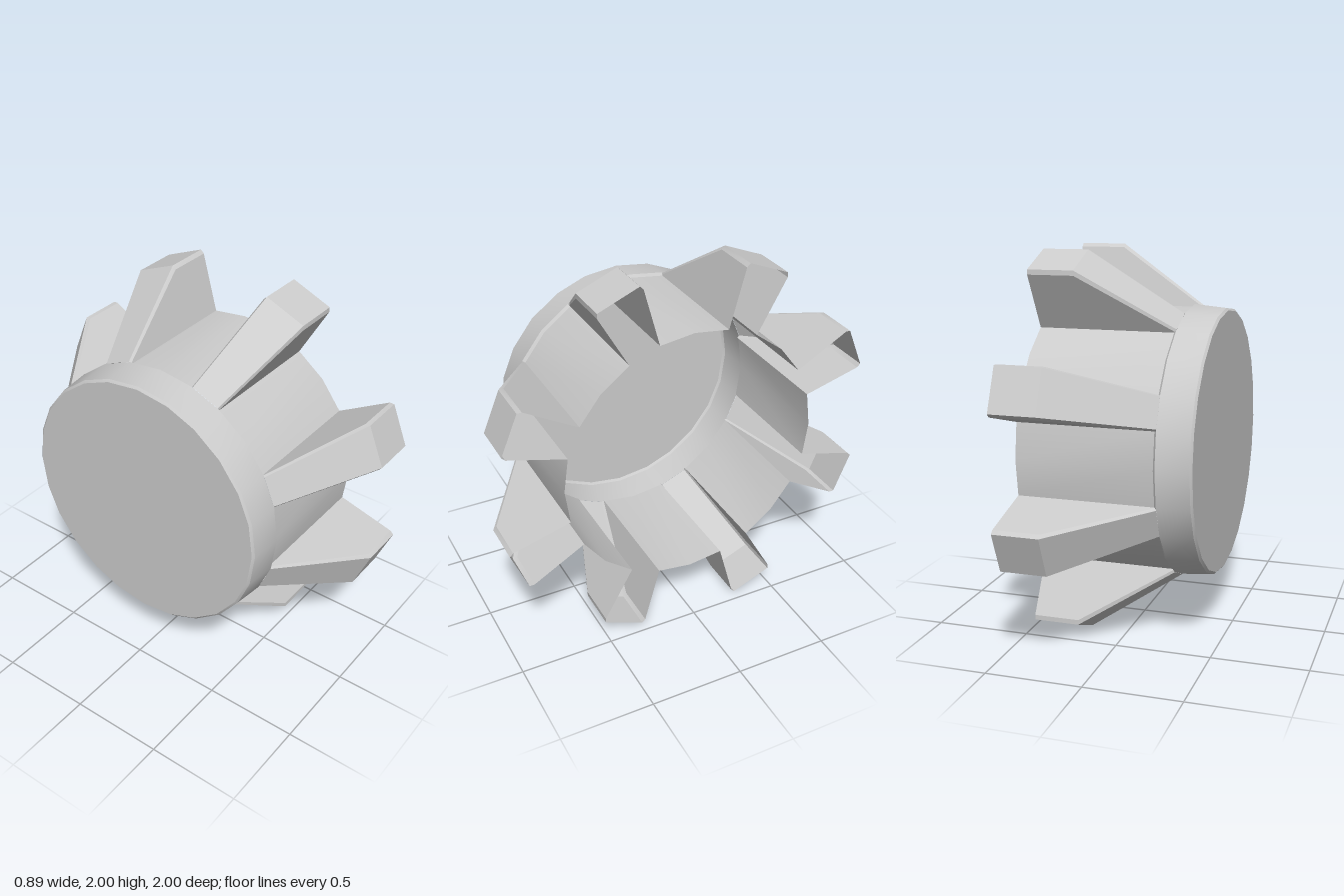
import * as THREE from 'three';
import { toCreasedNormals } from 'three/addons/utils/BufferGeometryUtils.js';

const DEG = Math.PI / 180;
const RIBS = 8;
const RIB_HALF = 7.1;                        // half angle of a rib
const PANEL_HALF = 180 / RIBS - RIB_HALF;    // half angle of a wall panel
const WALL = 0.7;
const END = 0.445;

const material = new THREE.MeshStandardMaterial({ color: 0xcccccc, side: THREE.DoubleSide });

// Point at x along the axis, radius r and angle in degrees around it
const polar = (x, r, angle) => [x, 1 + r * Math.sin(angle * DEG), r * Math.cos(angle * DEG)];

// Skin a list of cross-sections that all have the same number of points
function skin(name, sections) {
  const n = sections[0].length;
  const index = [];
  for (let i = 0; i < sections.length - 1; i++) {
    for (let j = 0; j < n - 1; j++) {
      const a = i * n + j, b = a + n;
      index.push(a, b, b + 1, a, b + 1, a + 1);
    }
  }
  const geometry = new THREE.BufferGeometry();
  geometry.setAttribute('position', new THREE.Float32BufferAttribute(sections.flat(2), 3));
  geometry.setIndex(index);
  const mesh = new THREE.Mesh(toCreasedNormals(geometry, 20 * DEG), material);
  mesh.name = name;
  return mesh;
}

export function createModel() {
  const group = new THREE.Group();
  group.name = 'ribbedCup';

  // Closed end and bevelled rim
  const angles = [];
  for (let k = 0; k < RIBS; k++) {
    const c = k * 360 / RIBS;
    angles.push(c - PANEL_HALF, c, c + PANEL_HALF);
  }
  angles.push(360 - PANEL_HALF);
  const ring = ([x, r]) => angles.map(a => polar(x, r, a));
  group.add(skin('endCap', [[-0.447, 0], [-0.447, 0.687]].map(ring)));
  group.add(skin('rim', [[-0.447, 0.687], [-0.436, 0.699], [-0.27, 0.714]].map(ring)));

  for (let k = 0; k < RIBS; k++) {
    // Curved wall panel, stepped in from the rim
    const c = k * 360 / RIBS;
    const panel = [[-0.27, 0.714], [-0.258, WALL], [END, WALL]].map(([x, r]) =>
      [-PANEL_HALF, 0, PANEL_HALF].map(a => polar(x, r, c + a)));
    group.add(skin('wallPanel', panel));

    // Hollow rib with bevelled edges, open inward and at the end
    const m = c + 180 / RIBS;
    const rib = [[-0.27, 0.714], [0.205, 1.04], [END, 1.04]].map(([x, r]) => {
      const shoulder = Math.max(WALL, r - 0.022);
      const half = [[WALL, RIB_HALF], [shoulder, RIB_HALF], [r, RIB_HALF - 0.7]];
      return [
        ...half.map(([q, a]) => polar(x, q, m - a)),
        ...half.reverse().map(([q, a]) => polar(x, q, m + a)),
      ];
    });
    group.add(skin('rib', rib));
  }
  return group;
}
